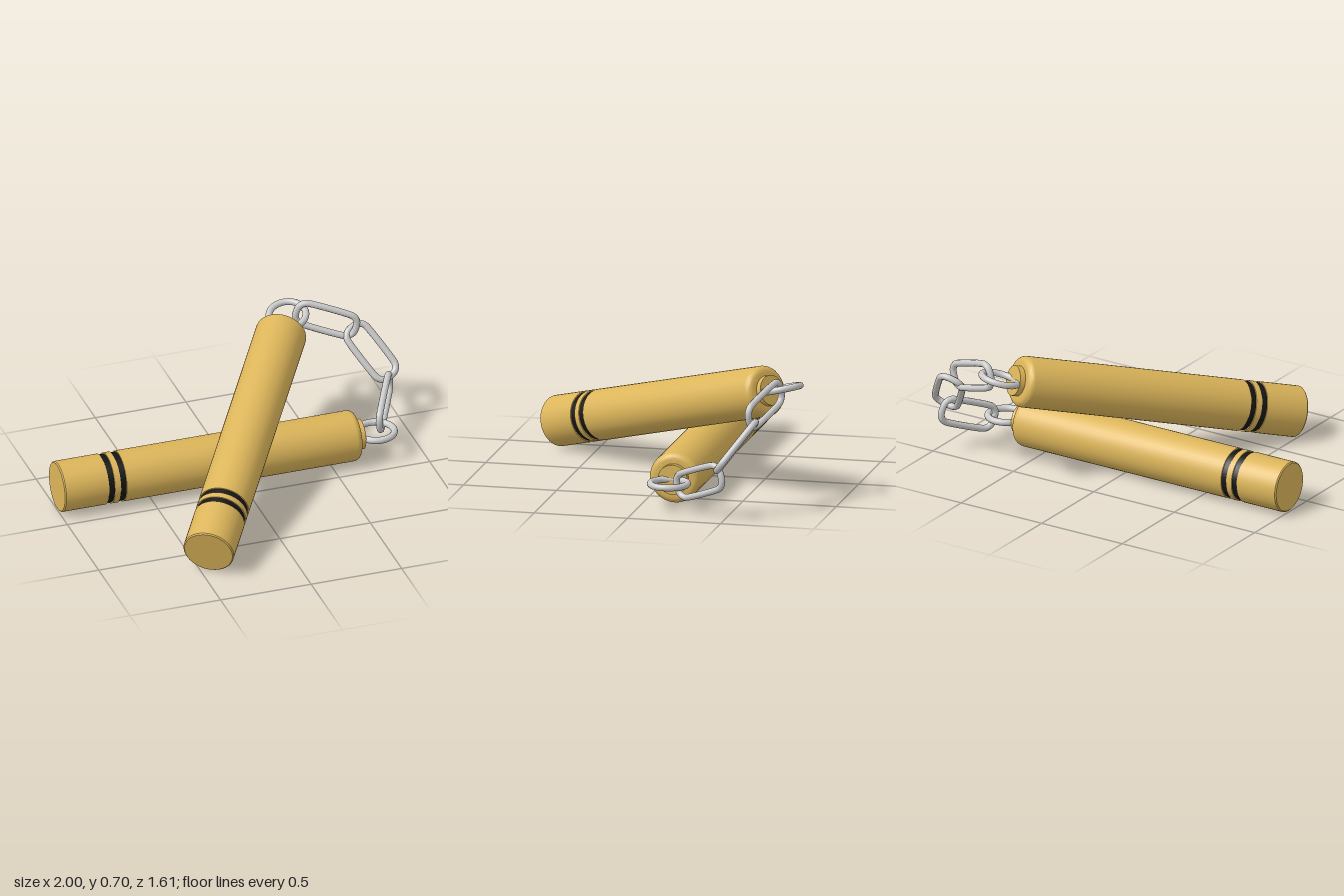
import * as THREE from 'three';
import { toCreasedNormals } from 'three/addons/utils/BufferGeometryUtils.js';

const wood = new THREE.MeshStandardMaterial({ color: 0xdcb55a });
const black = new THREE.MeshStandardMaterial({ color: 0x151515 });
const steel = new THREE.MeshStandardMaterial({ color: 0xcccccc });

const LENGTH = 1.65, R = 0.135, WIRE = 0.018;
const BANDS = [0.243, 0.308], BAND_WIDTH = 0.032, GROOVE = 0.126;

function add(parent, name, geometry, material) {
  const mesh = new THREE.Mesh(geometry, material);
  mesh.name = name;
  parent.add(mesh);
  return mesh;
}

// Orients a part: local y runs along the axis, local z or x leans toward the hint
function place(object, position, axis, hint, hintIsX = false) {
  const y = axis.clone().normalize();
  const h = hint.clone().addScaledVector(y, -hint.dot(y)).normalize();
  const x = hintIsX ? h : y.clone().cross(h);
  const z = hintIsX ? h.clone().cross(y) : h;
  object.quaternion.setFromRotationMatrix(new THREE.Matrix4().makeBasis(x, y, z));
  object.position.copy(position);
}

// Handle turned around y: sharp butt, two grooves, rounded tip and collar
function makeStick(name) {
  const stick = new THREE.Group();
  stick.name = name;
  const profile = [[0, 0], [R - 0.006, 0], [R, 0.006]];
  for (const b of BANDS) {
    profile.push([R, b], [GROOVE, b], [GROOVE, b + BAND_WIDTH], [R, b + BAND_WIDTH]);
  }
  const round = 0.035;
  for (let i = 0; i <= 6; i++) {
    const a = (i / 6) * Math.PI / 2;
    profile.push([R - round + round * Math.cos(a), LENGTH - round + round * Math.sin(a)]);
  }
  profile.push([0.08, LENGTH], [0.08, LENGTH + 0.03], [0, LENGTH + 0.03]);
  const body = new THREE.LatheGeometry(profile.map(([r, y]) => new THREE.Vector2(r, y)), 40);
  add(stick, 'handle', toCreasedNormals(body, 0.6), wood);

  // Black bands lying in the grooves
  for (const b of BANDS) {
    const band = new THREE.CylinderGeometry(GROOVE + 0.003, GROOVE + 0.003, BAND_WIDTH, 40, 1, true);
    add(stick, 'band', band, black).position.y = b + BAND_WIDTH / 2;
  }

  // Ring half sunk in the collar
  add(stick, 'endRing', new THREE.TorusGeometry(0.097, WIRE, 12, 40), steel).position.y = LENGTH + 0.11;
  return stick;
}

// Chain link: wire bent to a rounded rectangle, long side on y
function makeLinkGeometry(width, length, corner) {
  const points = [];
  for (let q = 0; q < 4; q++) {
    const sx = q === 0 || q === 3 ? 1 : -1, sy = q < 2 ? 1 : -1;
    for (let i = 0; i <= 4; i++) {
      const a = (q + i / 4) * Math.PI / 2;
      points.push(new THREE.Vector3(
        sx * (width / 2 - corner) + corner * Math.cos(a),
        sy * (length / 2 - corner) + corner * Math.sin(a), 0));
    }
  }
  return new THREE.TubeGeometry(new THREE.CatmullRomCurve3(points, true), 80, WIRE, 10, true);
}

export function createModel() {
  const model = new THREE.Group();
  model.name = 'chainedSticks';
  const v = (x, y, z) => new THREE.Vector3(x, y, z);
  const up = v(0, 1, 0), side = v(1, 0, 0);

  const lower = makeStick('lowerStick');
  place(lower, v(-1, 0.145, -0.165), v(1, 0, 0), up);
  const upper = makeStick('upperStick');
  place(upper, v(-0.47, 0.135, 0.72), v(0.526, 0.271, -0.806), up);
  model.add(lower, upper);

  // Three links joining the end rings: centre, long axis, width direction
  const chain = new THREE.Group();
  chain.name = 'chain';
  const linkGeometry = makeLinkGeometry(0.13, 0.325, 0.052);
  for (const [centre, axis, across] of [
    [v(0.655, 0.57, -0.655), v(0.31, -0.106, 0.106), up],
    [v(0.868, 0.393, -0.552), v(0.161, -0.245, 0.18), side],
    [v(0.874, 0.195, -0.355), v(-0.144, -0.109, 0.262), up],
  ]) {
    place(add(chain, 'chainLink', linkGeometry, steel), centre, axis, across, true);
  }
  model.add(chain);
  return model;
}
